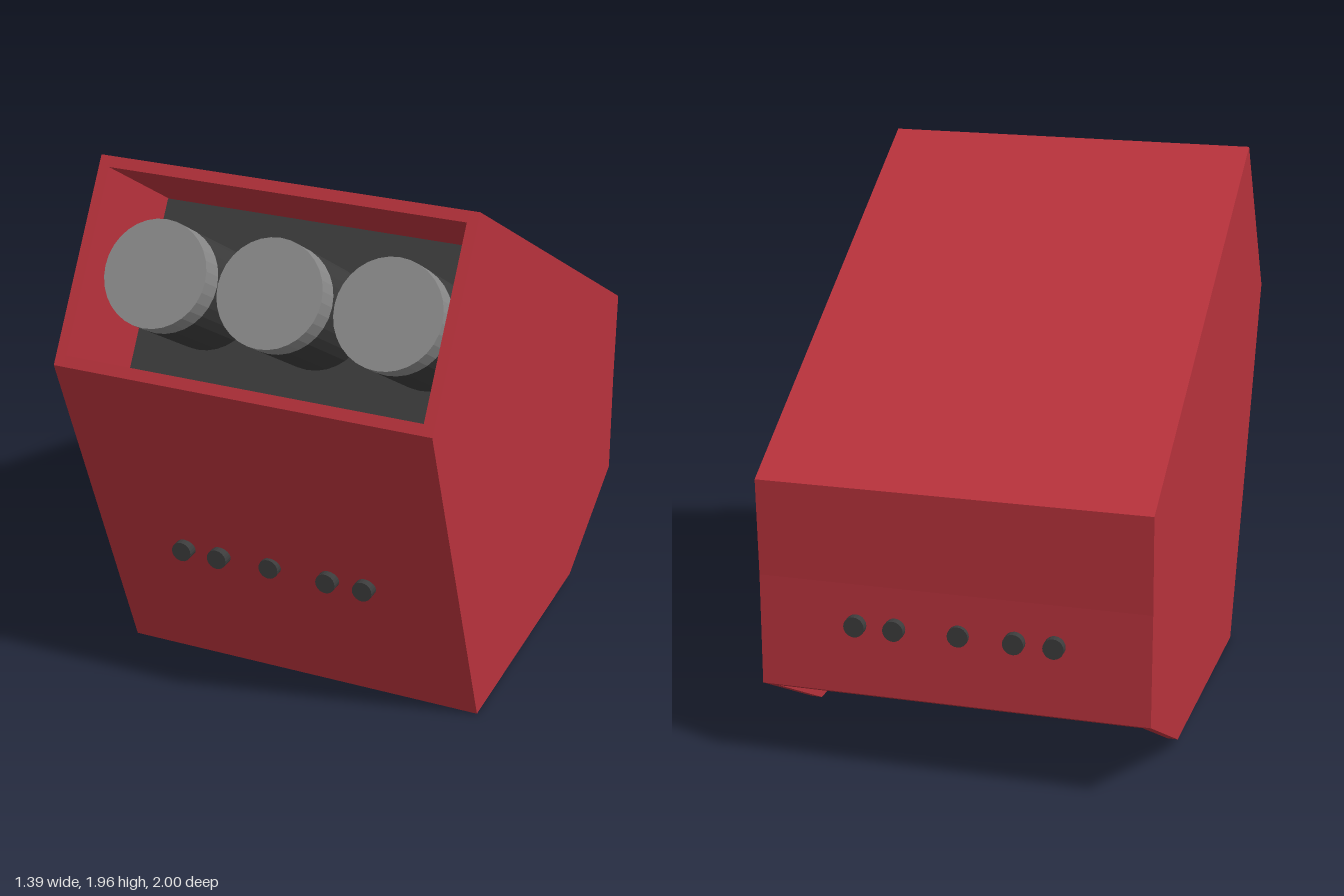
import * as THREE from 'three';

const RED = 0xb8323c, GREY = 0x8a8a8a, DARK = 0x3c3c3c;
const HALF_WIDTH = 0.693, WALL = 0.038;

const material = (color) => new THREE.MeshStandardMaterial({ color, flatShading: true });

function addMesh(parent, name, geometry, mat, x = 0, y = 0, z = 0) {
  const mesh = new THREE.Mesh(geometry, mat);
  mesh.name = name;
  mesh.position.set(x, y, z);
  parent.add(mesh);
  return mesh;
}

// Extrudes a (z, y) side profile across x, centred on x = 0
function slab(points, width) {
  const shape = new THREE.Shape(points.map(([z, y]) => new THREE.Vector2(z, y)));
  const geometry = new THREE.ExtrudeGeometry(shape, { depth: width, bevelEnabled: false });
  return geometry.translate(0, 0, -width / 2).rotateY(-Math.PI / 2);
}

// Cylinder lying along z between two depths
function rod(radius, zBack, zFront, segments) {
  return new THREE.CylinderGeometry(radius, radius, zFront - zBack, segments)
    .rotateX(Math.PI / 2).translate(0, 0, (zBack + zFront) / 2);
}

export function createModel() {
  const model = new THREE.Group();
  model.name = 'wedgeHousing';
  const red = material(RED), grey = material(GREY), dark = material(DARK);

  // Side walls: the full outline
  const back = [[-0.975, 0.295], [-0.97, 0.7], [-0.98, 1.05]];
  const outline = [[0.61, 1.96], [1, 1.33], [0.52, 0], [-0.51, 0.035], ...back];
  for (const side of [-1, 1]) {
    addMesh(model, side > 0 ? 'leftWall' : 'rightWall', slab(outline, WALL), red,
      side * (HALF_WIDTH - WALL / 2));
  }

  // Core between the walls, notched for the lamp bay and the hollow underside
  const core = [
    [0.61, 1.96],
    [0.63, 1.926], [0.205, 1.663], [0.555, 1.10], [0.98, 1.364],
    [1, 1.33], [0.52, 0],
    [0.48, 0.002], [0.545, 0.19], [-0.435, 0.218], [-0.931, 0.495], [-0.931, 0.27],
    ...back,
  ];
  addMesh(model, 'core', slab(core, 2 * (HALF_WIDTH - WALL)), red);

  // Lamp bay, tilted so that local z points out of the sloping opening
  const bay = new THREE.Group();
  bay.name = 'lampBay';
  bay.position.set(0, 1.645, 0.805);
  bay.rotation.x = -Math.atan2(0.39, 0.63);
  model.add(bay);
  addMesh(bay, 'backPanel', new THREE.BoxGeometry(1.31, 0.66, 0.02), dark, 0, 0, -0.495);
  for (const x of [-0.41, 0.018, 0.445]) {
    addMesh(bay, 'lampBody', rod(0.19, -0.49, -0.13, 32), dark, x);
    addMesh(bay, 'lampCap', rod(0.19, -0.13, -0.03, 32), grey, x);
  }

  // Rows of studs on the front and back, the middle one slightly shorter
  for (const x of [-0.36, -0.22, -0.022, 0.204, 0.344]) {
    const short = x === -0.022 ? 0.012 : 0;
    addMesh(model, 'frontStud', rod(0.037, 0.65, 0.76 - short, 20), dark, x, 0.553);
    addMesh(model, 'backStud', rod(0.037, -1 + short, -0.95, 20), dark, x, 0.553);
  }
  return model;
}
